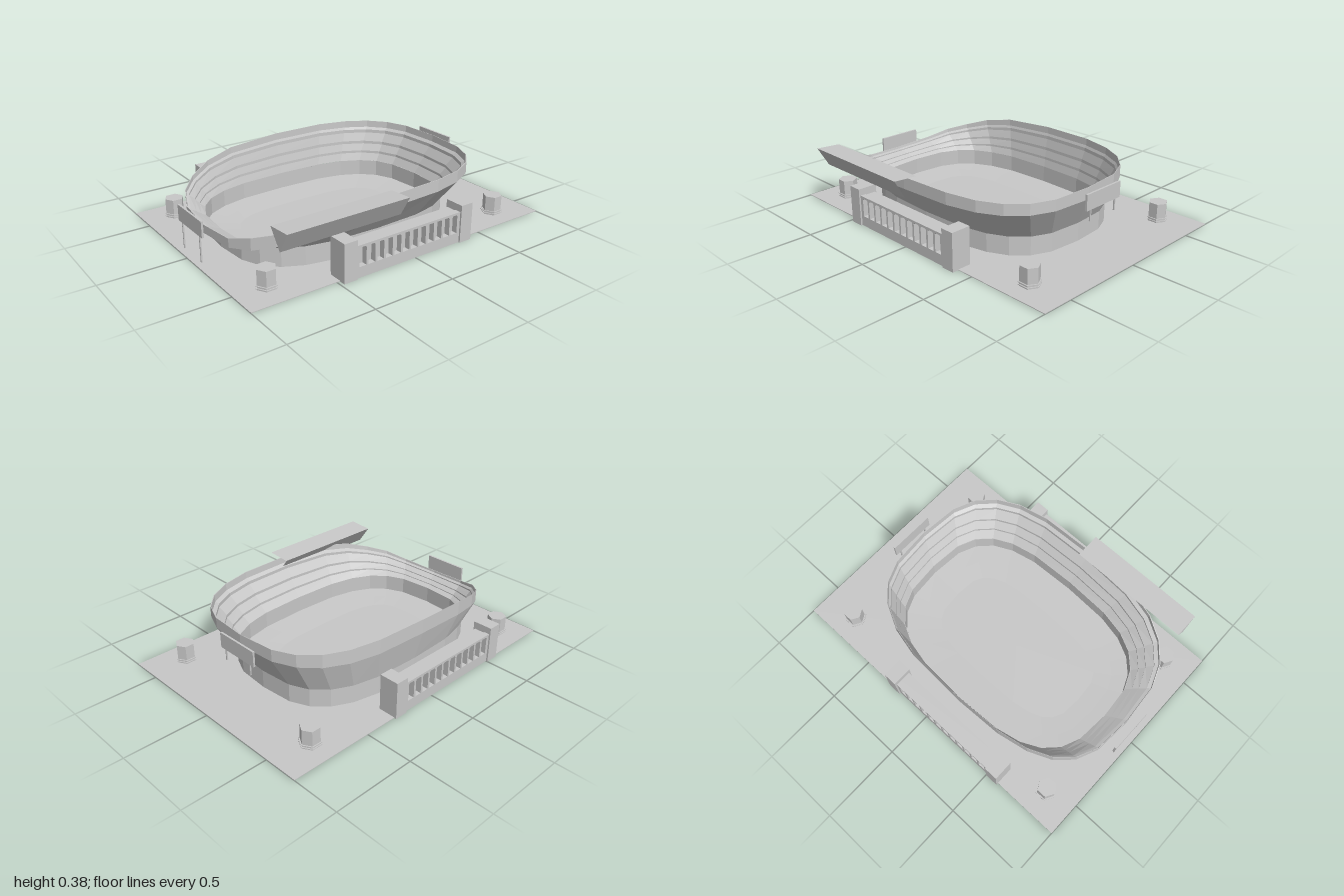
import * as THREE from 'three';

const concrete = new THREE.MeshStandardMaterial({ color: 0xc8c8c8 });
concrete.name = 'concrete';

const SEGMENTS = 24;

function add(parent, name, geometry, x = 0, y = 0, z = 0) {
  const mesh = new THREE.Mesh(geometry, concrete);
  mesh.name = name;
  mesh.position.set(x, y, z);
  parent.add(mesh);
  return mesh;
}

// Box given by its limits on each axis
function block(parent, name, x0, x1, y0, y1, z0, z1) {
  return add(parent, name, new THREE.BoxGeometry(x1 - x0, y1 - y0, z1 - z0),
    (x0 + x1) / 2, (y0 + y1) / 2, (z0 + z1) / 2);
}

function flatGeometry(points) {
  const geometry = new THREE.BufferGeometry().setFromPoints(points);
  geometry.computeVertexNormals();
  return geometry;
}

// Faceted skin over closed rings; bottom to top faces outward, top to bottom inward
function loft(rings) {
  const p = [];
  for (let r = 0; r < rings.length - 1; r++) {
    const a = rings[r], b = rings[r + 1];
    for (let i = 0; i < SEGMENTS; i++) {
      const j = (i + 1) % SEGMENTS;
      p.push(a[i], b[i], a[j], b[i], b[j], a[j]);
    }
  }
  return flatGeometry(p);
}

// Rounded oval plan: centre, half sizes, squareness
function oval(cx, cz, hx, hz, n) {
  const pts = [];
  for (let i = 0; i < SEGMENTS; i++) {
    const t = (i / SEGMENTS) * Math.PI * 2, c = Math.cos(t), s = Math.sin(t);
    pts.push(new THREE.Vector3(
      cx + hx * Math.sign(c) * Math.abs(c) ** (2 / n), 0,
      cz + hz * Math.sign(s) * Math.abs(s) ** (2 / n)));
  }
  return pts;
}

// Piecewise linear height along x
function heightAt(table, x) {
  if (x <= table[0][0]) return table[0][1];
  for (let i = 1; i < table.length; i++) {
    const [x0, y0] = table[i - 1], [x1, y1] = table[i];
    if (x <= x1) return y0 + ((y1 - y0) * (x - x0)) / (x1 - x0);
  }
  return table[table.length - 1][1];
}

const RIM_TOP = [[-0.91, 0.19], [-0.83, 0.245], [-0.6, 0.32], [-0.35, 0.365], [0.1, 0.377], [0.72, 0.37]];
const RIM_LOW = [[-0.91, 0.14], [-0.6, 0.25], [-0.3, 0.29], [0.72, 0.3]];
const BASE_TOP = 0.115;

function buildBowl() {
  const bowl = new THREE.Group();
  bowl.name = 'bowl';
  const base = oval(-0.085, -0.01, 0.705, 0.5, 3);
  const rim = oval(-0.095, 0.04, 0.815, 0.59, 3);
  const topY = p => heightAt(RIM_TOP, p.x) - 0.015 * p.z;
  const level = (ring, y) => ring.map(p => new THREE.Vector3(p.x, y, p.z));

  // Outer base wall, flared underside and upright rim band
  const rimLow = rim.map(p => new THREE.Vector3(p.x, heightAt(RIM_LOW, p.x), p.z));
  const rimTop = rim.map(p => new THREE.Vector3(p.x, topY(p), p.z));
  add(bowl, 'outerWall', loft([level(base, 0), level(base, BASE_TOP), rimLow, rimTop]));

  // Seating tiers: [outward fraction, height fraction] from the rim down
  const tiers = [[1, 1], [0.97, 1], [0.95, 0.84], [0.8, 0.78], [0.8, 0.7], [0.5, 0.5],
    [0.5, 0.43], [0.25, 0.26], [0.25, 0.2], [-0.02, 0.02]];
  add(bowl, 'seatingTiers', loft(tiers.map(([t, h]) => base.map((b, i) => {
    const r = rim[i];
    return new THREE.Vector3(b.x + (r.x - b.x) * t,
      BASE_TOP + (topY(r) - BASE_TOP) * h, b.z + (r.z - b.z) * t);
  }))));

  // Wall around the arena and the shallow floor terraces
  const wall = oval(-0.085, -0.011, 0.7, 0.496, 3);
  add(bowl, 'arenaWall', loft([level(wall, 0.12), level(wall, 0.02)]));
  add(bowl, 'arenaFloor', loft([
    level(wall, 0.02),
    level(oval(-0.095, -0.015, 0.61, 0.385, 3.2), 0.014),
    level(oval(-0.095, -0.015, 0.505, 0.285, 3.4), 0.008),
    level(oval(-0.095, -0.015, 0, 0, 3), 0.008)]));
  return bowl;
}

// Wedge-shaped stand box over the front rim, open at its inner end
function buildPressBox() {
  const left = -0.81, right = -0.06;
  const profile = [[0.57, 0.36], [0.72, 0.37], [0.65, 0.25]];
  const at = (x, k) => new THREE.Vector3(x, profile[k][1], profile[k][0]);
  const p = [];
  for (let k = 0; k < 3; k++) {
    const n = (k + 1) % 3;
    p.push(at(left, k), at(left, n), at(right, n), at(left, k), at(right, n), at(right, k));
  }
  p.push(at(left, 0), at(left, 2), at(left, 1));
  return flatGeometry(p);
}

// Colonnaded entrance with two towers, facing +z
function buildEntrance(name) {
  const group = new THREE.Group();
  group.name = name;
  for (const side of [-1, 1]) {
    block(group, 'tower', side * 0.4 - 0.041, side * 0.4 + 0.041, 0, 0.225, -0.06, 0.06);
  }
  block(group, 'hall', -0.36, 0.36, 0, 0.18, -0.05, 0.015);

  // Arcade screen with twelve chamfered openings
  const screen = new THREE.Shape();
  screen.moveTo(-0.36, 0);
  screen.lineTo(0.36, 0);
  screen.lineTo(0.36, 0.185);
  screen.lineTo(-0.36, 0.185);
  screen.closePath();
  for (let i = 0; i < 12; i++) {
    const x = (i - 5.5) * 0.0575, w = 0.022, c = 0.007;
    const hole = new THREE.Path();
    hole.moveTo(x - w, 0.062);
    hole.lineTo(x - w, 0.172 - c);
    hole.lineTo(x - w + c, 0.172);
    hole.lineTo(x + w - c, 0.172);
    hole.lineTo(x + w, 0.172 - c);
    hole.lineTo(x + w, 0.062);
    hole.closePath();
    screen.holes.push(hole);
  }
  add(group, 'arcade', new THREE.ExtrudeGeometry(screen, { depth: 0.035, bevelEnabled: false }), 0, 0, 0.015);
  return group;
}

// Six-sided kiosk with two thin rails round its foot
function buildKiosk(x, z) {
  const kiosk = new THREE.Group();
  kiosk.name = 'kiosk';
  const hex = (radius, height) => {
    const g = new THREE.CylinderGeometry(radius, radius, height, 6).rotateY(Math.PI / 2).toNonIndexed();
    g.computeVertexNormals();
    return g;
  };
  add(kiosk, 'body', hex(0.056, 0.119), 0, 0.0595, 0);
  for (const y of [0.014, 0.028]) add(kiosk, 'rail', hex(0.064, 0.004), 0, y, 0);
  kiosk.position.set(x, 0, z);
  return kiosk;
}

// Upright board on two posts, at one end of the bowl
function buildBoard(name, x, foot, bottom, top) {
  const board = new THREE.Group();
  board.name = name;
  block(board, 'panel', x - 0.006, x + 0.006, bottom, top, -0.15, 0.13);
  for (const z of [-0.112, 0.093]) {
    block(board, 'post', x - 0.004, x + 0.004, foot, bottom, z - 0.004, z + 0.004);
  }
  return board;
}

export function createModel() {
  const stadium = new THREE.Group();
  stadium.name = 'stadium';

  block(stadium, 'ground', -1, 1, 0, 0.004, -0.71, 0.685);
  stadium.add(buildBowl());
  add(stadium, 'pressBox', buildPressBox());

  const front = buildEntrance('frontEntrance');
  front.position.set(-0.04, 0, 0.663);
  const back = buildEntrance('backEntrance');
  back.position.set(-0.142, 0, -0.663);
  back.rotation.y = Math.PI;
  stadium.add(front, back);

  for (const [x, z] of [[-0.815, -0.55], [0.765, -0.562], [-0.815, 0.52], [0.765, 0.535]]) {
    stadium.add(buildKiosk(x, z));
  }

  stadium.add(buildBoard('leftEndBoard', 0.777, 0.21, 0.277, 0.37));
  stadium.add(buildBoard('rightEndBoard', -0.96, 0, 0.16, 0.255));
  return stadium;
}
